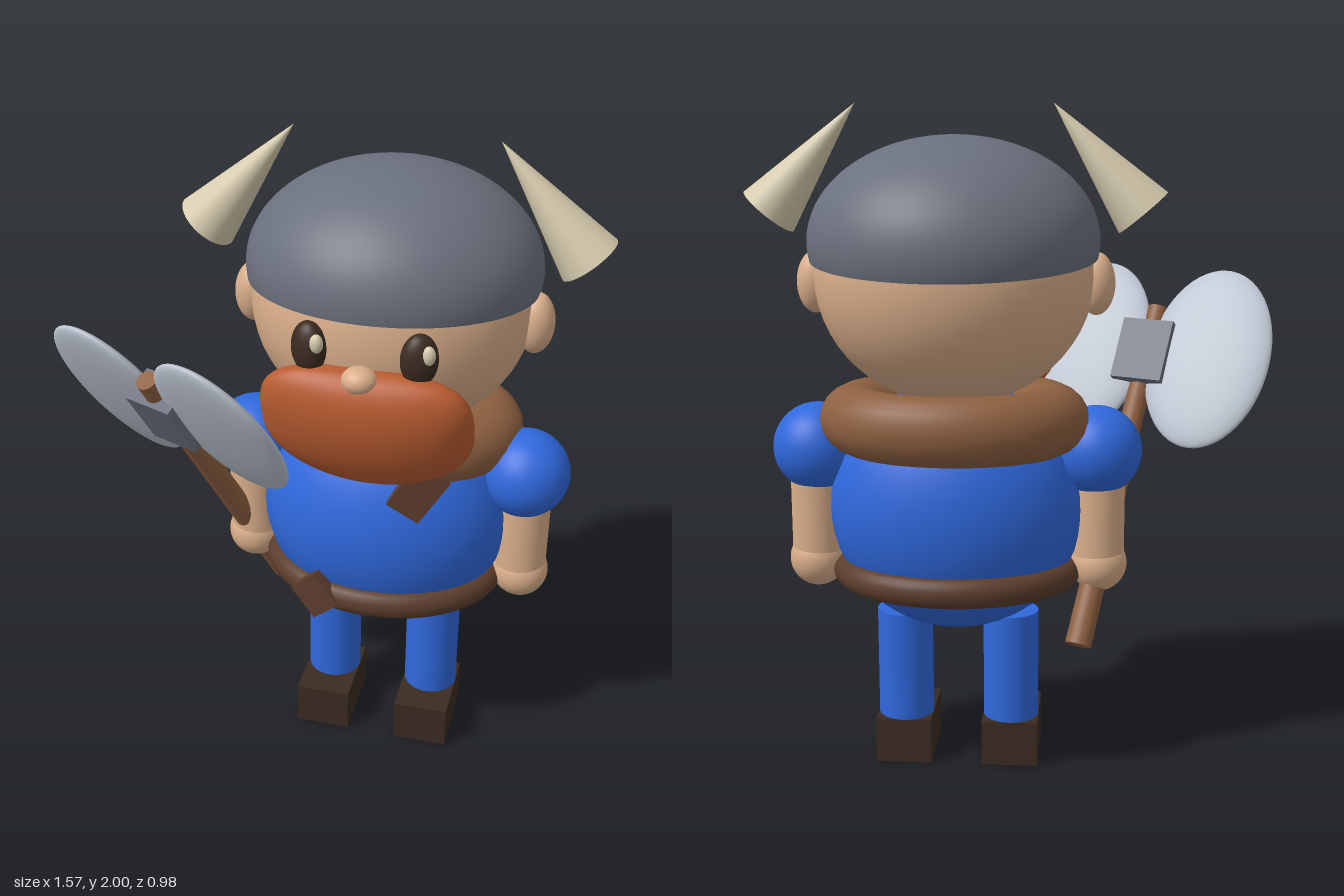
import * as THREE from 'three';

const mat = (name, color) => {
  const m = new THREE.MeshStandardMaterial({ color });
  m.name = name;
  return m;
};

export function createModel() {
  const skin = mat('skin', 0xd9ae8a);
  const blue = mat('blue cloth', 0x2f68dc);
  const ginger = mat('ginger hair', 0xb95c30);
  const leather = mat('tan leather', 0x8d6040);
  const belt = mat('dark leather', 0x5c3d2c);
  const dark = mat('dark brown', 0x3b2b21);
  const iron = mat('iron', 0x6a707d);
  const steel = mat('steel', 0xbcc4d0);
  const horn = mat('horn', 0xd6cbae);
  const ironOpen = iron.clone();
  ironOpen.side = THREE.DoubleSide;

  const model = new THREE.Group();
  model.name = 'axeWarrior';
  const CX = 0.164; // the figure's own middle line
  const CZ = -0.07;

  const add = (name, geo, material, x, y, z, parent = model) => {
    const mesh = new THREE.Mesh(geo, material);
    mesh.name = name;
    mesh.position.set(x, y, z);
    parent.add(mesh);
    return mesh;
  };
  const ball = (name, material, x, y, z, rx, ry, rz, parent) => {
    const mesh = add(name, new THREE.SphereGeometry(1, 40, 28), material, x, y, z, parent);
    mesh.scale.set(rx, ry, rz);
    return mesh;
  };
  const ring = (name, material, y, z, R, r, sy, sz) => {
    const geo = new THREE.TorusGeometry(R, r, 20, 64).rotateX(Math.PI / 2).scale(1, sy, sz);
    return add(name, geo, material, CX, y, z);
  };
  // Cylinder or cone running between two points
  const rod = (name, material, a, b, r0, r1) => {
    const dir = b.clone().sub(a);
    const mid = a.clone().add(b).multiplyScalar(0.5);
    const mesh = add(name, new THREE.CylinderGeometry(r1, r0, dir.length(), 32), material, mid.x, mid.y, mid.z);
    mesh.quaternion.setFromUnitVectors(new THREE.Vector3(0, 1, 0), dir.normalize());
    return mesh;
  };
  const V = (x, y, z) => new THREE.Vector3(x, y, z);

  // Torso, belt and collar
  ball('torso', blue, CX, 0.812, CZ, 0.385, 0.38, 0.297);
  ring('belt', belt, 0.615, CZ, 0.335, 0.045, 1, 0.8);
  ring('collar', leather, 1.09, -0.12, 0.29, 0.11, 0.93, 0.735);
  const buckle = add('beltKnot', new THREE.BoxGeometry(0.11, 0.12, 0.04), belt, 0.01, 0.62, 0.2);
  buckle.rotation.set(0, -0.25, 0.75);
  const clasp = add('collarClasp', new THREE.BoxGeometry(0.11, 0.17, 0.035), belt, 0.31, 1.03, 0.18);
  clasp.rotation.set(0, 0.1, -0.55);

  // Head and helmet
  ball('head', skin, CX, 1.51, -0.085, 0.41, 0.38, 0.377);
  const helmet = add('helmet', new THREE.SphereGeometry(1, 64, 32, 0, Math.PI * 2, 0, Math.PI * 0.55), ironOpen, CX, 1.61, -0.095);
  helmet.scale.set(0.425, 0.3, 0.403);
  helmet.rotation.x = -0.1;

  // Mirrored parts
  for (const s of [-1, 1]) {
    const side = s > 0 ? 'left' : 'right';
    ball(side + 'Ear', skin, CX + s * 0.415, 1.485, CZ, 0.055, 0.092, 0.058);
    rod(side + 'Horn', horn, V(CX + s * 0.547, 1.69, CZ), V(CX + s * 0.286, 2, CZ), 0.091, 0);

    const eye = ball(side + 'Eye', dark, CX + s * 0.152, 1.505, 0.275, 0.052, 0.077, 0.04);
    eye.rotation.y = s * 0.35;
    ball(side + 'EyeGlint', horn, CX + s * 0.152 + 0.029, 1.532, s > 0 ? 0.297 : 0.305, 0.019, 0.028, 0.016);

    ball(side + 'Shoulder', blue, CX + s * 0.422, 0.987, CZ, 0.135, 0.135, 0.135);
    add(side + 'Arm', new THREE.CylinderGeometry(0.08, 0.08, 0.36, 32), skin, CX + s * 0.428, 0.81, CZ);
    ball(side + 'Hand', skin, CX + s * 0.43, 0.637, CZ, 0.087, 0.087, 0.087);

    add(side + 'Leg', new THREE.CylinderGeometry(0.085, 0.085, 0.36, 32), blue, CX + s * 0.164, 0.3, CZ);
    add(side + 'Shoe', new THREE.BoxGeometry(0.172, 0.14, 0.255), dark, CX + s * 0.164, 0.07, -0.028);
  }
  ball('nose', skin, CX, 1.447, 0.32, 0.05, 0.038, 0.045);

  // Beard: a tilted ellipsoid whose upper half is squared off sideways
  const beardGeo = new THREE.SphereGeometry(1, 48, 36);
  const p = beardGeo.attributes.position;
  for (let i = 0; i < p.count; i++) {
    const y = p.getY(i);
    if (y > 0 && y < 0.9999) {
      p.setX(i, p.getX(i) * Math.pow(1 - Math.pow(y, 3.6), 1 / 3.6) / Math.sqrt(1 - y * y));
    }
  }
  beardGeo.scale(0.302, 0.212, 0.118);
  beardGeo.computeVertexNormals();
  add('beard', beardGeo, ginger, CX + 0.005, 1.262, 0.24).rotation.x = 0.36;

  // Axe held in the right hand, built along its slanted shaft
  const foot = V(-0.21, 0.41, -0.185);
  const top = V(-0.445, 1.365, 0.325);
  rod('axeShaft', leather, foot, top, 0.04, 0.032);
  const up = top.clone().sub(foot).normalize();
  const out = V(0.92, 0.02, 0.39);
  out.addScaledVector(up, -out.dot(up)).normalize();
  const axeHead = new THREE.Group();
  axeHead.name = 'axeHead';
  axeHead.position.set(-0.412, 1.235, 0.245);
  axeHead.quaternion.setFromRotationMatrix(
    new THREE.Matrix4().makeBasis(out, up, out.clone().cross(up)));
  model.add(axeHead);
  add('axeBlock', new THREE.BoxGeometry(0.165, 0.2, 0.11), iron, 0, -0.01, 0, axeHead);
  for (const s of [-1, 1]) {
    ball(s > 0 ? 'innerBlade' : 'outerBlade', steel, s * 0.2, 0, 0, 0.198, 0.298, 0.04, axeHead);
  }

  return model;
}
